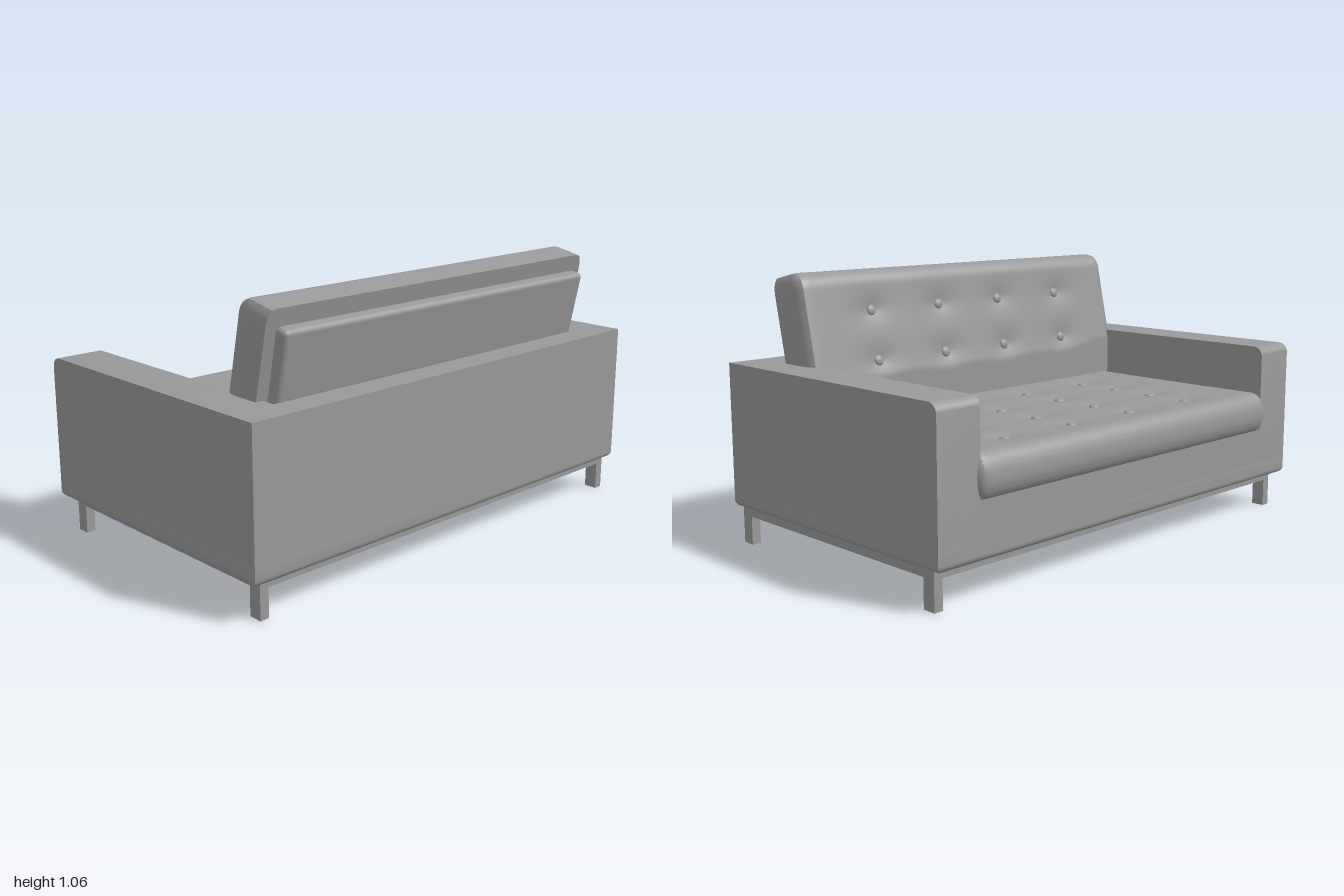
import * as THREE from 'three';
import { toCreasedNormals, mergeVertices } from 'three/addons/utils/BufferGeometryUtils.js';
import { RoundedBoxGeometry } from 'three/addons/geometries/RoundedBoxGeometry.js';

const fabric = new THREE.MeshStandardMaterial({ color: 0x999999 });
fabric.name = 'grey';

const BUTTON_Z = [-0.53, -0.18, 0.155, 0.51];
const SEAT_BUTTON_X = [-0.42, -0.235, -0.04, 0.15];
const BACK_BUTTON_Y = [-0.17, -0.37]; // measured down from the top back edge
const LEAN = 0.215;

function add(parent, name, geometry, x = 0, y = 0, z = 0) {
  const mesh = new THREE.Mesh(geometry, fabric);
  mesh.name = name;
  mesh.position.set(x, y, z);
  parent.add(mesh);
  return mesh;
}

// Box given by its lower and upper corners
function block(parent, name, x0, x1, y0, y1, z0, z1) {
  return add(parent, name, new THREE.BoxGeometry(x1 - x0, y1 - y0, z1 - z0),
    (x0 + x1) / 2, (y0 + y1) / 2, (z0 + z1) / 2);
}

// Cushion: fine box with elliptical edges; the rule then shapes each vertex
function cushion(min, max, radii, segments, sharpBack, rule) {
  const size = max.clone().sub(min);
  let geo = new THREE.BoxGeometry(size.x, size.y, size.z, ...segments);
  geo.translate((min.x + max.x) / 2, (min.y + max.y) / 2, (min.z + max.z) / 2);
  const low = min.clone().add(radii);
  const high = max.clone().sub(radii);
  if (sharpBack) high.x = max.x;
  const pos = geo.attributes.position;
  const p = new THREE.Vector3();
  for (let i = 0; i < pos.count; i++) {
    p.fromBufferAttribute(pos, i);
    const inner = p.clone().clamp(low, high);
    p.sub(inner).divide(radii).normalize().multiply(radii).add(inner);
    rule(p);
    pos.setXYZ(i, p.x, p.y, p.z);
  }
  geo.deleteAttribute('uv');
  geo.deleteAttribute('normal');
  geo = mergeVertices(geo, 1e-5);
  return toCreasedNormals(geo, 0.7);
}

// Depth of the tufting around a grid of buttons
function tuft(a, b, rowsA, rowsB) {
  let depth = 0;
  for (const ra of rowsA) {
    for (const rb of rowsB) {
      const da = (a - ra) / 0.055;
      const db = (b - rb) / 0.09;
      depth += Math.exp(-Math.sqrt(da * da + db * db + 0.02));
    }
  }
  return Math.min(depth, 1);
}

function createSeat(group) {
  const top = 0.52;
  const geo = cushion(new THREE.Vector3(-0.62, 0.345, -0.83), new THREE.Vector3(0.4, top, 0.82),
    new THREE.Vector3(0.06, 0.085, 0.03), [60, 20, 90], false, (p) => {
      if (p.y > 0.45) p.y -= 0.025 * tuft(p.x, p.z, SEAT_BUTTON_X, BUTTON_Z) * (p.y - 0.45) / 0.07;
    });
  add(group, 'seatCushion', geo);
  for (const x of SEAT_BUTTON_X) {
    for (const z of BUTTON_Z) {
      add(group, 'seatButton', new THREE.SphereGeometry(0.022, 14, 10), x, top - 0.023, z).scale.y = 0.55;
    }
  }
}

function createBack(group) {
  // Local frame: origin on the top back edge, leaning backwards
  const c = Math.cos(LEAN);
  const s = Math.sin(LEAN);
  const place = (x, y) => [0.513 + x * c + y * s, 1.036 - x * s + y * c];
  const geo = cushion(new THREE.Vector3(-0.168, -0.6, -0.86), new THREE.Vector3(0, 0, 0.84),
    new THREE.Vector3(0.07, 0.07, 0.03), [16, 48, 90], true, (p) => {
      if (p.x < -0.07) {
        p.x += 0.025 * tuft(p.y, p.z, BACK_BUTTON_Y, BUTTON_Z) * (-0.07 - p.x) / 0.098;
      }
      const [x, y] = place(p.x, p.y);
      p.x = Math.max(x, 0.265);
      p.y = y;
    });
  add(group, 'backCushion', geo);
  for (const v of BACK_BUTTON_Y) {
    for (const z of BUTTON_Z) {
      const [x, y] = place(-0.147, v);
      const button = add(group, 'backButton', new THREE.SphereGeometry(0.022, 14, 10), x, y, z);
      button.scale.x = 0.55;
      button.rotation.z = -LEAN;
    }
  }
  // Thin leaning support behind the cushion
  const support = new RoundedBoxGeometry(0.062, 0.5, 1.617, 4, 0.02);
  support.translate(-0.031, -0.25, 0);
  add(group, 'backSupport', support, 0.554, 0.964, -0.011).rotation.z = -0.2;
}

function createBody(group) {
  // Base plate with a rolled lower edge
  const r = 0.025;
  const plate = new THREE.Shape();
  plate.moveTo(-0.593 + r, -1 + r);
  plate.lineTo(0.618 - r, -1 + r);
  plate.lineTo(0.618 - r, 1 - r);
  plate.lineTo(-0.593 + r, 1 - r);
  plate.closePath();
  const base = new THREE.ExtrudeGeometry(plate, {
    depth: 0.05, bevelEnabled: true, bevelSize: r, bevelThickness: r, bevelSegments: 5,
  });
  base.rotateX(-Math.PI / 2);
  add(group, 'base', toCreasedNormals(base, 0.6), 0, 0.142 + r, 0);

  // Arms with a rounded upper front corner
  const y0 = 0.142 + r;
  const side = new THREE.Shape();
  side.moveTo(-0.593, y0);
  side.lineTo(0.618, y0);
  side.lineTo(0.618, 0.712);
  side.lineTo(-0.553, 0.712);
  side.absarc(-0.553, 0.672, 0.04, Math.PI / 2, Math.PI, false);
  side.closePath();
  for (const z of [-1, 0.81]) {
    const arm = new THREE.ExtrudeGeometry(side, { depth: 0.19, bevelEnabled: false, curveSegments: 8 });
    add(group, 'arm', toCreasedNormals(arm, 0.6), 0, 0, z);
  }
  block(group, 'seatDeck', -0.593, 0.5, y0, 0.36, -0.81, 0.81);
  block(group, 'backPanel', 0.5, 0.618, y0, 0.712, -0.81, 0.81);
}

function createFrame(group) {
  const [x0, x1, z0, z1] = [-0.553, 0.583, -0.984, 0.952];
  for (const z of [z0, z1 - 0.037]) {
    block(group, 'frameSideBar', x0, x1, 0.113, 0.145, z, z + 0.037);
    for (const x of [x0, x1 - 0.054]) block(group, 'leg', x, x + 0.054, 0, 0.113, z, z + 0.037);
  }
  for (const x of [x0, x1 - 0.037]) {
    block(group, 'frameLongBar', x, x + 0.037, 0.113, 0.145, z0 + 0.037, z1 - 0.037);
  }
}

export function createModel() {
  const sofa = new THREE.Group();
  sofa.name = 'sofa';
  const parts = { body: createBody, seat: createSeat, back: createBack, frame: createFrame };
  for (const [name, build] of Object.entries(parts)) {
    const group = new THREE.Group();
    group.name = name;
    build(group);
    sofa.add(group);
  }
  return sofa;
}
